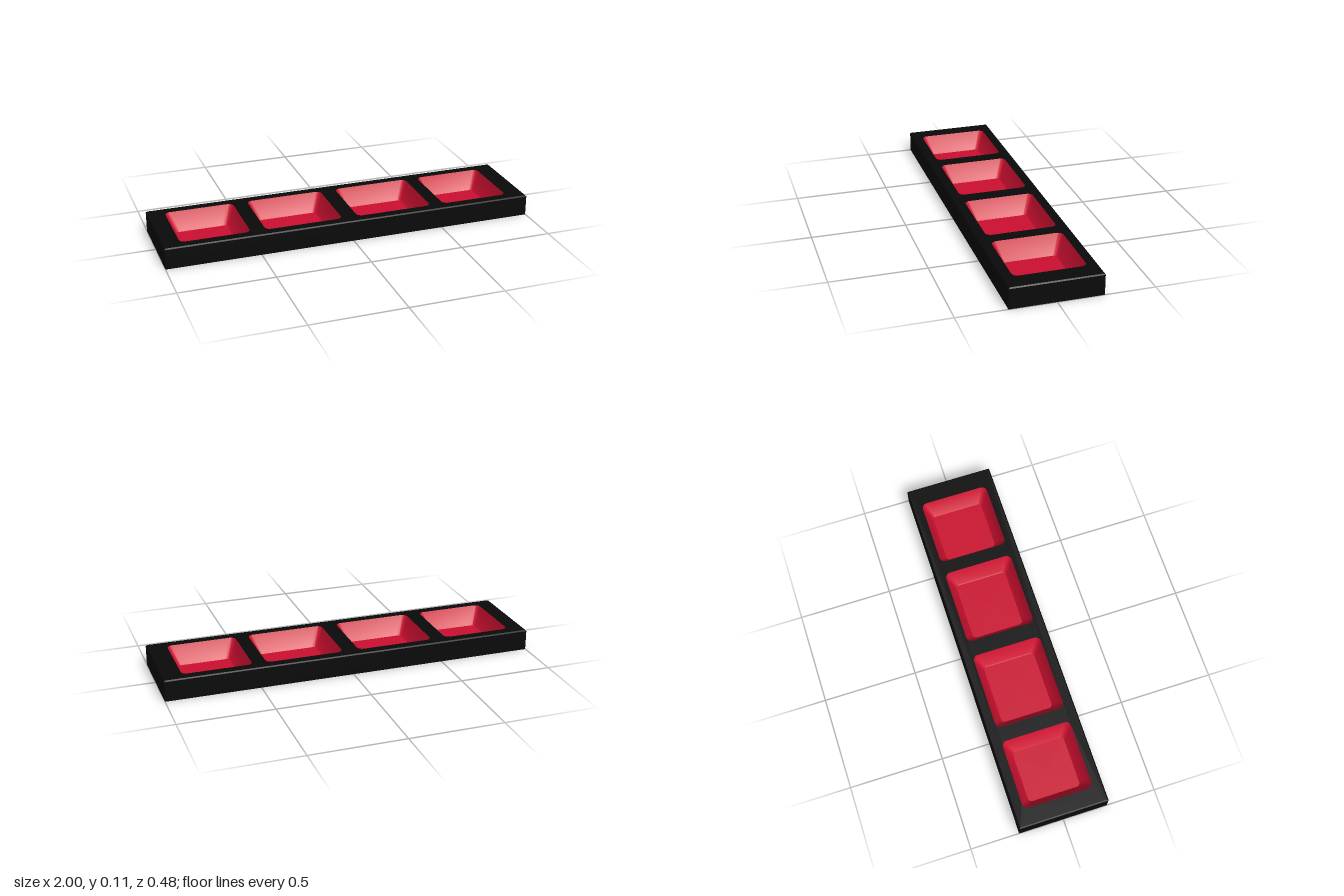
import * as THREE from 'three';
import { toCreasedNormals } from 'three/addons/utils/BufferGeometryUtils.js';

const HEIGHT = 0.113;
const HALF_Z = 0.24;

// Points around a rounded rectangle, centred on the origin
function roundedRect(halfX, halfZ, r, steps) {
  const points = [];
  const corners = [[1, 1], [-1, 1], [-1, -1], [1, -1]];
  corners.forEach(([sx, sz], q) => {
    for (let i = 0; i <= steps; i++) {
      const a = (q + i / steps) * Math.PI / 2;
      points.push(new THREE.Vector2(
        sx * (halfX - r) + r * Math.cos(a),
        sz * (halfZ - r) + r * Math.sin(a)));
    }
  });
  return points;
}

// Skin between rings { y, x, points }; descending rings face outward, ascending inward.
// The ring at capIndex is closed.
function loft(rings, capIndex) {
  const pos = [];
  const at = (i, j) => {
    const { y, x = 0, points } = rings[i];
    const p = points[j % points.length];
    return [x + p.x, y, p.y];
  };
  const n = rings[0].points.length;
  for (let j = 0; j < n; j++) {
    for (let i = 0; i < rings.length - 1; i++) {
      const a = at(i, j), b = at(i, j + 1), c = at(i + 1, j), d = at(i + 1, j + 1);
      pos.push(...a, ...b, ...c, ...b, ...d, ...c);
    }
    const centre = [rings[capIndex].x ?? 0, rings[capIndex].y, 0];
    if (capIndex === 0) pos.push(...centre, ...at(0, j + 1), ...at(0, j));
    else pos.push(...centre, ...at(capIndex, j), ...at(capIndex, j + 1));
  }
  const geometry = new THREE.BufferGeometry();
  geometry.setAttribute('position', new THREE.Float32BufferAttribute(pos, 3));
  return toCreasedNormals(geometry, 0.5);
}

export function createModel() {
  const group = new THREE.Group();
  const black = new THREE.MeshStandardMaterial({ color: 0x0a0a0a });
  const red = new THREE.MeshStandardMaterial({ color: 0xcc1030 });
  const add = (name, geometry, material) => {
    const mesh = new THREE.Mesh(geometry, material);
    mesh.name = name;
    group.add(mesh);
    return mesh;
  };

  // Outer sides with a small bevel at the top, closed underneath
  const bevel = 0.006;
  const outline = roundedRect(1, HALF_Z, 0.003, 2);
  const topOutline = roundedRect(1 - bevel, HALF_Z - bevel, 0.003, 2);
  add('traySides', loft([
    { y: HEIGHT, points: topOutline },
    { y: HEIGHT - bevel, points: outline },
    { y: 0, points: outline },
  ], 2), black);

  // Wells: centre and half width; the outer pair is narrower
  const wells = [
    { x: -0.725, half: 0.185 }, { x: -0.253, half: 0.208 },
    { x: 0.248, half: 0.208 }, { x: 0.713, half: 0.185 },
  ];
  const topFace = new THREE.Shape(topOutline);
  wells.forEach(({ x, half }, i) => {
    const rim = roundedRect(half, 0.187, 0.03, 6);
    const foot = roundedRect(half - 0.041, 0.147, 0.025, 6);
    const floor = roundedRect(half - 0.047, 0.141, 0.02, 6);
    topFace.holes.push(new THREE.Path(rim.map(p => new THREE.Vector2(p.x + x, p.y))));
    add(`well${i + 1}`, loft([
      { y: 0.012, x, points: floor },
      { y: 0.018, x, points: foot },
      { y: HEIGHT, x, points: rim },
    ], 0), red);
  });

  // Flat frame around the wells
  const frame = new THREE.ShapeGeometry(topFace);
  frame.rotateX(-Math.PI / 2).translate(0, HEIGHT, 0);
  add('topFrame', frame, black);

  return group;
}
